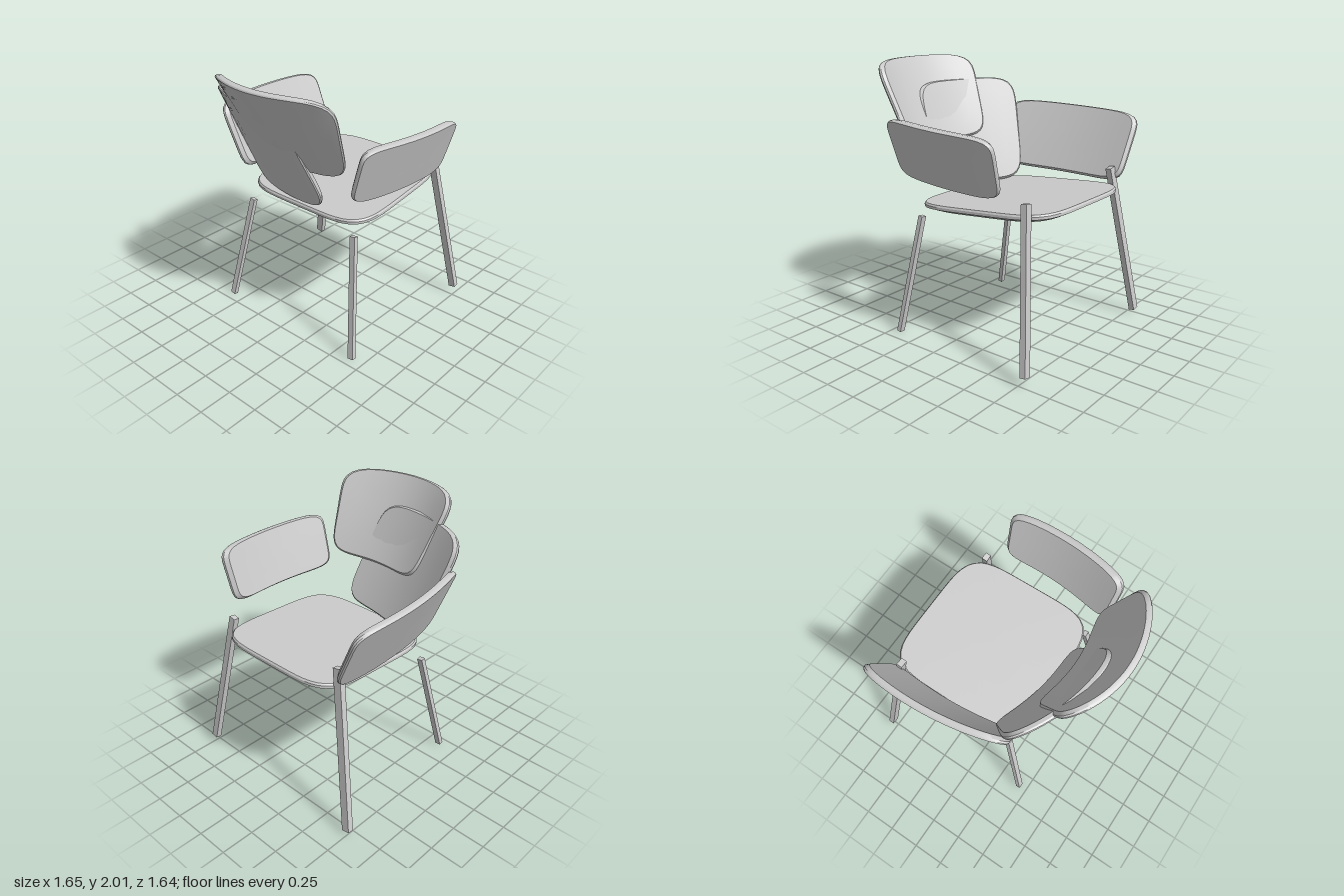
import * as THREE from 'three';
import { mergeVertices, toCreasedNormals } from 'three/addons/utils/BufferGeometryUtils.js';

const SEGMENTS = 80;

// Curved, rounded slab. Corners run bottom-left, bottom-right, top-right, top-left as
// seen from its outer face; the outer face bows by `bulge` (bottom and top amounts).
function panel(name, { corners, bulge = [0, 0], bulgeDir = [0, 0, 1], power = 5, thick, bevel }) {
  const [bl, br, tr, tl] = corners.map((c) => new THREE.Vector3(...c));
  const dir = new THREE.Vector3(...bulgeDir);

  const surface = (u, v) => {
    const s = (u + 1) / 2, t = (v + 1) / 2;
    const low = bl.clone().lerp(br, s), high = tl.clone().lerp(tr, s);
    const bow = THREE.MathUtils.lerp(bulge[0], bulge[1], t) * (1 - u * u);
    return low.lerp(high, t).addScaledVector(dir, bow);
  };
  const normal = (u, v) => {
    const e = 0.01;
    const du = surface(u + e, v).sub(surface(u - e, v));
    const dv = surface(u, v + e).sub(surface(u, v - e));
    return du.cross(dv).normalize();
  };

  // Cross-section from the middle of the outer face, round the rim, to the inner face
  const profile = [
    [0, 0], [0.25, 0], [0.5, 0], [0.75, 0], [0.9, 0], [0.985, 0], [1, 0.2], [1, 0.5],
    [bevel, 1], [0.75, 1], [0.5, 1], [0.25, 1], [0, 1],
  ];
  const positions = [], index = [];
  for (const [r, depth] of profile) {
    for (let i = 0; i < SEGMENTS; i++) {
      const a = (i / SEGMENTS) * Math.PI * 2, c = Math.cos(a), s = Math.sin(a);
      const k = r * (Math.abs(c) ** power + Math.abs(s) ** power) ** (-1 / power);
      const p = surface(c * k, s * k).addScaledVector(normal(c * k, s * k), -depth * thick);
      positions.push(p.x, p.y, p.z);
    }
  }
  const last = profile.length - 2;
  for (let j = 0; j <= last; j++) {
    for (let i = 0; i < SEGMENTS; i++) {
      const n = (i + 1) % SEGMENTS;
      const a = j * SEGMENTS + i, b = j * SEGMENTS + n;
      const c = a + SEGMENTS, d = b + SEGMENTS;
      if (j < last) index.push(a, c, d);
      else index.push(a, c, b);
      if (j > 0 && j < last) index.push(a, d, b);
    }
  }
  const geometry = new THREE.BufferGeometry();
  geometry.setAttribute('position', new THREE.Float32BufferAttribute(positions, 3));
  geometry.setIndex(index);
  const mesh = new THREE.Mesh(toCreasedNormals(mergeVertices(geometry), 0.5), material());
  mesh.name = name;
  return mesh;
}

function material() {
  return new THREE.MeshStandardMaterial({ color: 0xcccccc });
}

// Straight square-edged leg between two points
function leg(name, bottom, top, width, depth) {
  const a = new THREE.Vector3(...bottom), b = new THREE.Vector3(...top);
  const axis = b.clone().sub(a);
  const mesh = new THREE.Mesh(new THREE.BoxGeometry(width, axis.length(), depth), material());
  mesh.position.copy(a).add(b).multiplyScalar(0.5);
  mesh.quaternion.setFromUnitVectors(new THREE.Vector3(0, 1, 0), axis.normalize());
  mesh.name = name;
  return mesh;
}

export function createModel() {
  const chair = new THREE.Group();
  chair.name = 'chair';

  // Seat, tilted slightly, with a bevelled underside
  chair.add(panel('seat', {
    corners: [[-0.53, 1.03, 0.32], [0.61, 1.03, 0.33], [0.55, 1.11, -0.8], [-0.56, 1.11, -0.8]],
    power: 5, thick: 0.065, bevel: 0.87,
  }));

  // Two overlapping curved back panels
  chair.add(panel('upperBackPanel', {
    corners: [[-0.31, 1.38, 0.37], [0.54, 1.38, 0.37], [0.63, 2, 0.62], [-0.46, 2, 0.64]],
    bulge: [0.08, 0.19], power: 6, thick: 0.045, bevel: 0.97,
  }));
  chair.add(panel('lowerBackPanel', {
    corners: [[-0.51, 1.02, 0.15], [0.32, 1.06, 0.32], [0.2, 1.81, 0.66], [-0.72, 1.81, 0.4]],
    bulge: [0.06, 0.09], power: 6, thick: 0.045, bevel: 0.97,
  }));

  // Arm panels, leaning outward
  chair.add(panel('leftArmPanel', {
    corners: [[0.6, 1.23, 0.41], [0.67, 1.2, -0.54], [0.79, 1.61, -0.56], [0.73, 1.65, 0.44]],
    bulge: [0.05, 0.06], bulgeDir: [1, 0, 0], power: 7, thick: 0.06, bevel: 0.95,
  }));
  chair.add(panel('rightArmPanel', {
    corners: [[-0.57, 1.1, -0.73], [-0.51, 1.12, 0.33], [-0.7, 1.63, 0.39], [-0.8, 1.59, -0.76]],
    bulge: [0.05, 0.07], bulgeDir: [-1, 0, 0], power: 7, thick: 0.05, bevel: 0.96,
  }));

  // Splayed legs
  chair.add(leg('backRightLeg', [-0.745, 0.04, -0.8], [-0.53, 1.22, -0.655], 0.062, 0.045));
  chair.add(leg('backLeftLeg', [0.73, 0.07, -0.79], [0.54, 1.18, -0.65], 0.055, 0.045));
  chair.add(leg('frontRightLeg', [-0.605, 0.015, 0.43], [-0.5, 0.855, 0.26], 0.045, 0.035));
  chair.add(leg('frontLeftLeg', [0.65, 0.01, 0.43], [0.53, 0.92, 0.285], 0.045, 0.035));

  return chair;
}
